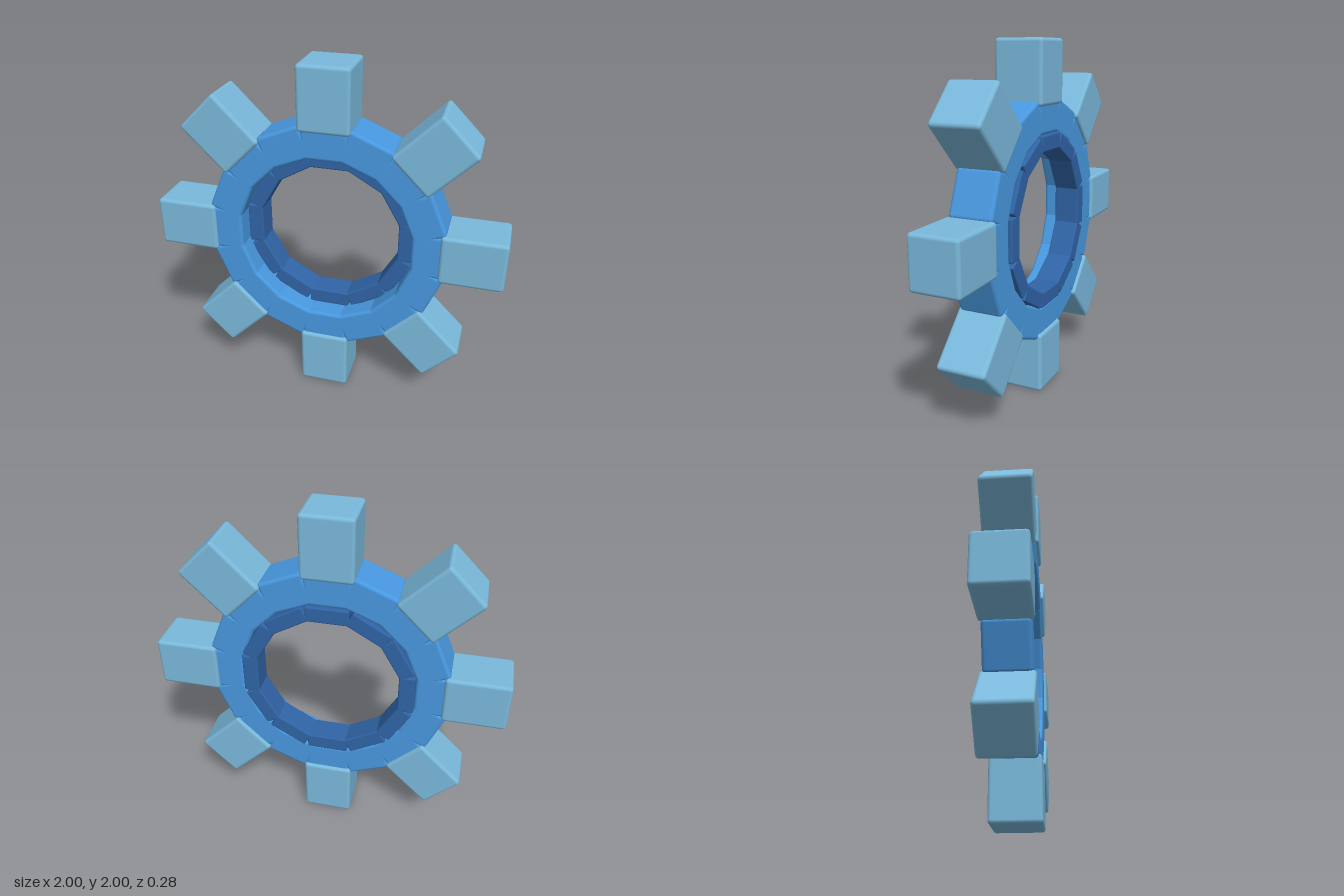
import * as THREE from 'three';
import { RoundedBoxGeometry } from 'three/addons/geometries/RoundedBoxGeometry.js';

const paint = (name, color) => {
  const m = new THREE.MeshStandardMaterial({ color });
  m.name = name;
  return m;
};

// A ring of equal rounded blocks spanning radius inner..outer, the first one at the top
function blockRing(name, count, inner, outer, width, depth, z, bevel, material) {
  const ring = new THREE.Group();
  ring.name = name + 'Ring';
  const geometry = new RoundedBoxGeometry(width, outer - inner, depth, 2, bevel);
  geometry.translate(0, (inner + outer) / 2, z);
  for (let i = 0; i < count; i++) {
    const block = new THREE.Mesh(geometry, material);
    block.name = name;
    block.rotation.z = (i / count) * Math.PI * 2;
    ring.add(block);
  }
  return ring;
}

export function createModel() {
  const model = new THREE.Group();
  model.name = 'gear';
  const paleBlue = paint('pale blue', 0x7ab9db);
  const midBlue = paint('mid blue', 0x4898e0);
  const darkBlue = paint('dark blue', 0x3064a6);

  const wheel = new THREE.Group();
  wheel.name = 'wheel';
  wheel.position.y = 1;
  wheel.add(
    blockRing('tooth', 8, 0.645, 1, 0.288, 0.28, 0, 0.02, paleBlue),
    blockRing('rimSegment', 16, 0.49, 0.68, 0.262, 0.246, 0, 0.02, midBlue),
    // Lining sits towards the back and stands slightly proud of the rim there
    blockRing('liningSegment', 12, 0.4, 0.49, 0.238, 0.15, -0.062, 0.009, darkBlue)
  );
  model.add(wheel);
  return model;
}
